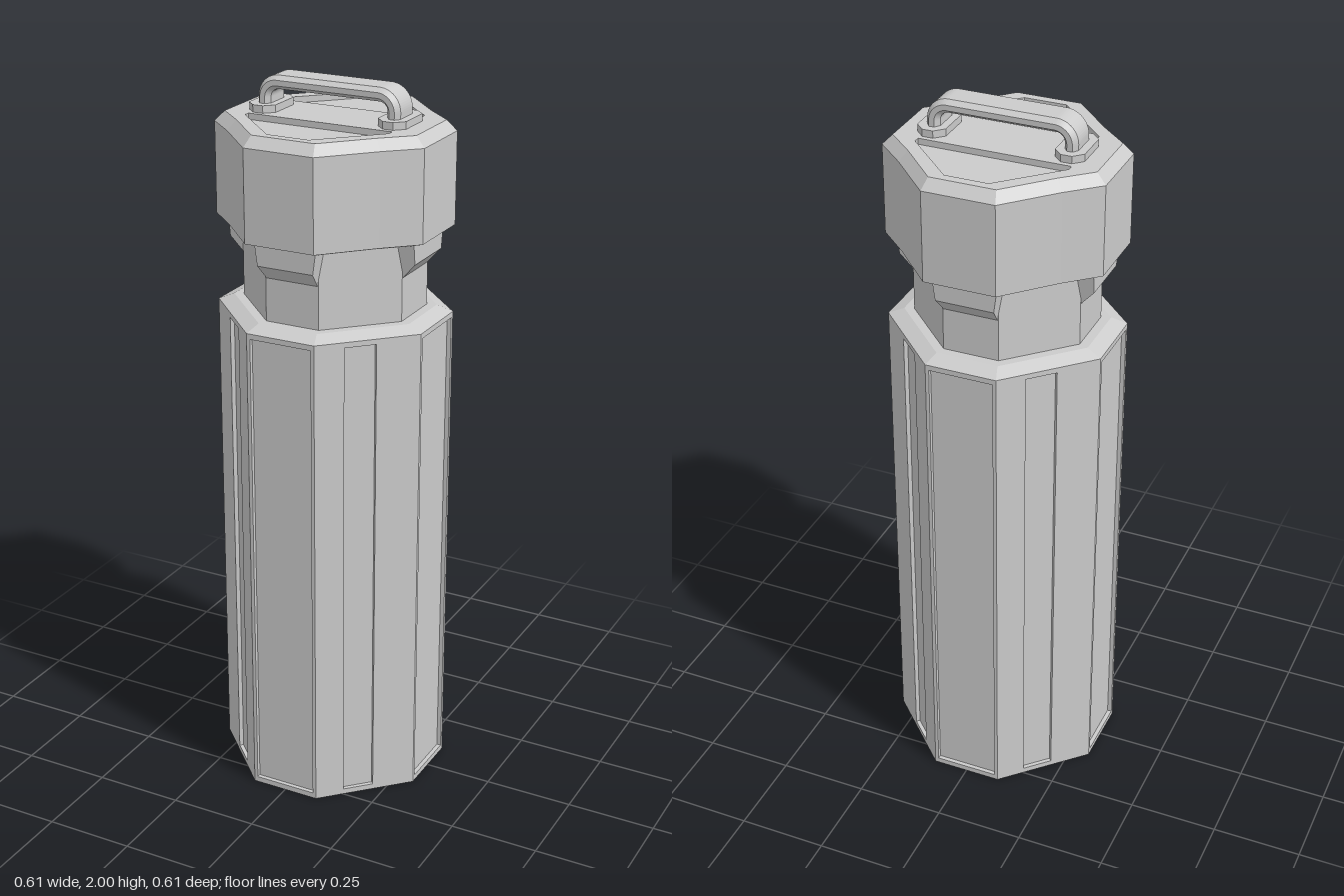
import * as THREE from 'three';

const R = 0.307, C = 0.1; // octagon half width and half length of a straight side
const material = new THREE.MeshStandardMaterial({ color: 0xcccccc });

function mesh(name, geometry, parent) {
  const m = new THREE.Mesh(geometry, material);
  m.name = name;
  parent.add(m);
  return m;
}

// Octagon outline, counter-clockwise from above; kinked diagonals bend slightly inward
function outline(scale = 1, kinked = false) {
  const quarter = [[R, -C], [R, C]];
  if (kinked) quarter.push([0.222, 0.178]);
  const points = [];
  for (let q = 0; q < 4; q++) {
    const list = quarter.map(([x, y]) => (q % 2 && x === 0.222 ? [y, x] : [x, y]));
    for (const [x, y] of list) {
      // the kink is mirrored, the corners are rotated
      const p = new THREE.Vector2(x, y);
      if (Math.abs(x) === R || q % 2 === 0) p.rotateAround(new THREE.Vector2(), q * Math.PI / 2);
      else p.set(...[[0, 0], [-0.222, 0.178], [0, 0], [0.222, -0.178]][q]);
      points.push(p.multiplyScalar(scale));
    }
  }
  return points;
}

// Stack of scaled outlines [scale, y], closed at both ends
function loft(layers, kinked) {
  const rings = layers.map(([s, y]) => outline(s, kinked).map(p => new THREE.Vector3(p.x, y, -p.y)));
  const n = rings[0].length, last = rings.length - 1, tris = [];
  const bottom = new THREE.Vector3(0, layers[0][1], 0);
  const top = new THREE.Vector3(0, layers[last][1], 0);
  for (let i = 0; i < n; i++) {
    const j = (i + 1) % n;
    for (let k = 0; k < last; k++) {
      const a = rings[k][i], b = rings[k][j], c = rings[k + 1][j], d = rings[k + 1][i];
      tris.push(a, b, c, a, c, d);
    }
    tris.push(bottom, rings[0][j], rings[0][i], top, rings[last][i], rings[last][j]);
  }
  const g = new THREE.BufferGeometry().setFromPoints(tris);
  g.computeVertexNormals();
  return g;
}

function extrude(shape, depth) {
  return new THREE.ExtrudeGeometry(shape, { depth, bevelEnabled: false });
}

function polygon(points) {
  return new THREE.Shape(points.map(([x, y]) => new THREE.Vector2(x, y)));
}

function rectangle(x0, x1, y0, y1) {
  return polygon([[x0, y0], [x1, y0], [x1, y1], [x0, y1]]);
}

// Flat octagonal plate with two trapezoid openings either side of a central bar
function slottedPlate(scale, kinked, depth) {
  const shape = new THREE.Shape(outline(scale, kinked));
  for (const s of [1, -1]) {
    shape.holes.push(polygon([[-0.21, 0.087 * s], [0.21, 0.087 * s], [0.21, 0.105 * s],
      [0.06, 0.255 * s], [-0.06, 0.255 * s], [-0.21, 0.105 * s]]));
  }
  return extrude(shape, depth).rotateX(-Math.PI / 2);
}

function createBody(parent) {
  const body = new THREE.Group();
  body.name = 'body';
  parent.add(body);
  const depth = 0.012, height = 1.378, inner = 0.96;
  mesh('bodyCore', loft([[inner, 0.03], [inner, height]]), body);
  mesh('basePlate', slottedPlate(inner, false, 0.03), body);
  mesh('shoulder', loft([[1, height], [0.865, 1.395], [0.78, 1.395]]), body);

  // Side frames: wide recessed panels on the main sides, narrow grooves on the diagonals
  for (let i = 0; i < 8; i++) {
    const angle = i * Math.PI / 4, diagonal = i % 2 === 1;
    const nx = Math.sin(angle), nz = Math.cos(angle);
    const half = diagonal ? (R - C) / Math.SQRT2 : C;
    const distance = (diagonal ? (R + C) / Math.SQRT2 : R) - depth;
    const mid = diagonal ? -0.02 * Math.sign(nx * nz) : 0;
    const opening = diagonal ? 0.044 : 0.09;
    const frame = rectangle(-half, half, 0, height);
    frame.holes.push(rectangle(mid - opening, mid + opening, 0.016, 1.363));
    const side = mesh(diagonal ? 'groovedSide' : 'panelSide', extrude(frame, depth), body);
    side.rotation.y = angle;
    side.position.set(nx * distance, 0, nz * distance);
  }
}

function createNeck(parent) {
  mesh('neck', loft([[0.78, 1.385], [0.78, 1.615]]), parent);
  // Sloped brackets under the lid, narrowing downward
  const profile = polygon([[0.2, 1.515], [0.24, 1.515], [0.277, 1.557], [0.277, 1.62], [0.2, 1.62]]);
  for (let i = 0; i < 4; i++) {
    const g = extrude(profile, 0.18).translate(0, 0, -0.09);
    const p = g.attributes.position;
    for (let k = 0; k < p.count; k++) {
      const t = (p.getY(k) - 1.515) / 0.105;
      p.setZ(k, p.getZ(k) * THREE.MathUtils.lerp(0.84, 1, t));
    }
    g.computeVertexNormals();
    mesh('bracket', g, parent).rotation.y = i * Math.PI / 2;
  }
}

function createLid(parent) {
  const lid = new THREE.Group();
  lid.name = 'lid';
  parent.add(lid);
  const rim = 0.912, top = 1.903, floor = 1.886;
  mesh('lidShell', loft([[0.78, 1.608], [0.865, 1.608], [1, 1.622], [1, 1.875], [rim, top], [rim, floor]], true), lid);
  mesh('lidPlate', slottedPlate(rim, true, top - floor), lid).position.y = floor;

  // Chamfered feet of the handle
  const w = 0.04, d = 0.073, c = 0.025;
  const foot = polygon([[w, c - d], [w, d - c], [w - c, d], [c - w, d],
    [-w, d - c], [-w, c - d], [c - w, -d], [w - c, -d]]);
  for (const s of [1, -1]) {
    const m = mesh('handleFoot', extrude(foot, 0.02).rotateX(-Math.PI / 2), lid);
    m.position.set(s * 0.19, top, 0);
  }

  // Arched handle with chamfered edges
  const b = 0.011, o = 0.208 - b, i = o - 0.015, y0 = top + 0.005;
  const yo = 2 - b, yi = yo - 0.015, ro = 0.05, ri = 0.035;
  const arch = new THREE.Shape();
  arch.moveTo(o, y0);
  arch.lineTo(o, yo - ro);
  arch.absarc(o - ro, yo - ro, ro, 0, Math.PI / 2);
  arch.absarc(ro - o, yo - ro, ro, Math.PI / 2, Math.PI);
  arch.lineTo(-o, y0);
  arch.lineTo(-i, y0);
  arch.absarc(ri - i, yi - ri, ri, Math.PI, Math.PI / 2, true);
  arch.absarc(i - ri, yi - ri, ri, Math.PI / 2, 0, true);
  arch.lineTo(i, y0);
  const g = new THREE.ExtrudeGeometry(arch, {
    depth: 0.07, bevelThickness: 0.015, bevelSize: b, bevelSegments: 1, curveSegments: 8,
  });
  mesh('handle', g.translate(0, 0, -0.035), lid);
}

export function createModel() {
  const model = new THREE.Group();
  model.name = 'canister';
  createBody(model);
  createNeck(model);
  createLid(model);
  return model;
}
